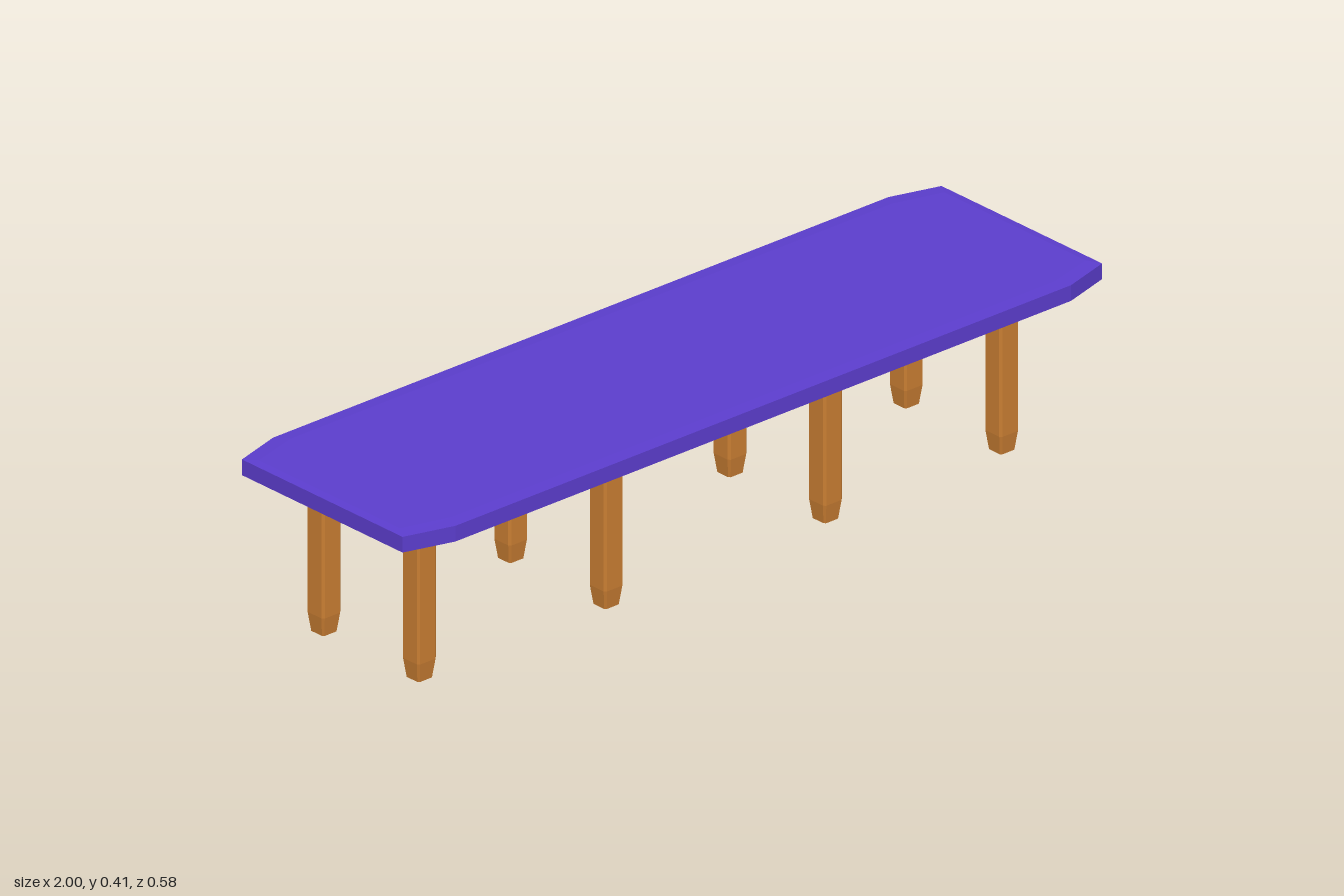
import * as THREE from 'three';

// Solid lofted through chamfered rectangles: [y, halfX, halfZ, chamferX, chamferZ], bottom to top
function chamferedLoft(sections) {
  const rings = sections.map(([y, hx, hz, cx, cz]) => [
    [hx, hz - cz], [hx, cz - hz], [hx - cx, -hz], [cx - hx, -hz],
    [-hx, cz - hz], [-hx, hz - cz], [cx - hx, hz], [hx - cx, hz],
  ].map(([x, z]) => new THREE.Vector3(x, y, z)));
  const points = [];
  const n = 8;
  for (let r = 0; r < rings.length - 1; r++) {
    for (let i = 0; i < n; i++) {
      const j = (i + 1) % n;
      const a = rings[r][i], b = rings[r][j], c = rings[r + 1][j], d = rings[r + 1][i];
      points.push(a, b, c, a, c, d);
    }
  }
  // End caps
  const bottom = rings[0], top = rings[rings.length - 1];
  for (let i = 1; i < n - 1; i++) {
    points.push(top[0], top[i], top[i + 1]);
    points.push(bottom[0], bottom[i + 1], bottom[i]);
  }
  const geometry = new THREE.BufferGeometry().setFromPoints(points);
  geometry.computeVertexNormals();
  return geometry;
}

export function createModel() {
  const group = new THREE.Group();
  const purple = new THREE.MeshStandardMaterial({ color: 0x5b3dcc, flatShading: true });
  const wood = new THREE.MeshStandardMaterial({ color: 0xc87d32, flatShading: true });

  // Long top with clipped corners and slightly bevelled rims
  const tableTop = new THREE.Mesh(chamferedLoft([
    [0.371, 0.98, 0.257, 0.12, 0.033],
    [0.374, 1, 0.29, 0.12, 0.035],
    [0.411, 1, 0.29, 0.12, 0.035],
    [0.414, 0.98, 0.257, 0.12, 0.033],
  ]), purple);
  tableTop.name = 'tableTop';
  group.add(tableTop);

  // Two rows of square posts with chamfered edges and tapered feet
  const legGeometry = chamferedLoft([
    [0, 0.021, 0.021, 0.004, 0.004],
    [0.045, 0.027, 0.027, 0.005, 0.005],
    [0.35, 0.027, 0.027, 0.005, 0.005],
    [0.375, 0.0245, 0.0245, 0.005, 0.005],
  ]);
  for (const x of [-0.86, -0.326, 0.301, 0.805]) {
    for (const z of [0.153, -0.15]) {
      const leg = new THREE.Mesh(legGeometry, wood);
      leg.name = z > 0 ? 'frontLeg' : 'backLeg';
      leg.position.set(x, 0, z);
      group.add(leg);
    }
  }
  return group;
}
